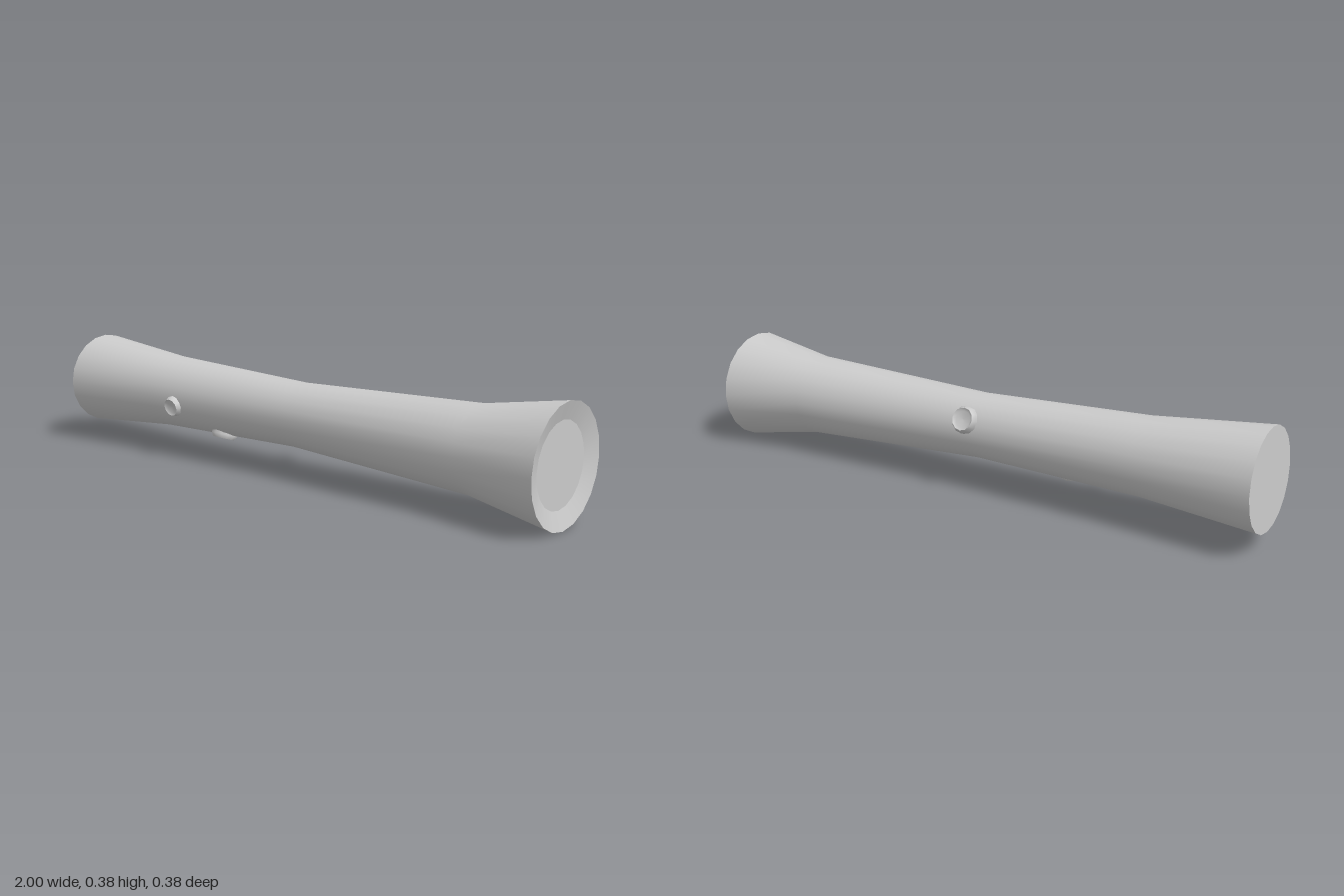
import * as THREE from 'three';

const material = new THREE.MeshStandardMaterial({ color: 0xcccccc });

// Surface of revolution from [radius, height] pairs, listed bottom to top on the outside
function turned(name, profile, sides) {
  const points = profile.map(([r, h]) => new THREE.Vector2(r, h));
  const mesh = new THREE.Mesh(new THREE.LatheGeometry(points, sides), material);
  mesh.name = name;
  return mesh;
}

// Short broken-off branch with a dished end, pointing along +y
function createStub(name, radius, reach) {
  const stub = new THREE.Group();
  stub.name = name;
  stub.add(
    turned('stubSide', [[radius * 0.9, 0.05], [radius, reach - 0.014], [radius * 0.82, reach]], 12),
    turned('stubDish', [[radius * 0.82, reach], [radius * 0.6, reach - 0.007], [0, reach - 0.009]], 12)
  );
  return stub;
}

export function createModel() {
  const model = new THREE.Group();
  model.name = 'log';
  const sides = 20;
  const left = -0.998, right = 0.993, recess = 0.975;

  // Trunk lying along x, narrow at the middle, with a recessed right end
  const trunk = new THREE.Group();
  trunk.name = 'trunk';
  trunk.add(
    turned('bark', [[0.163, left], [0.127, -0.6], [0.109, 0], [0.139, 0.7], [0.19, right]], sides),
    turned('plainEnd', [[0, left], [0.163, left]], sides),
    turned('endLip', [[0.19, right], [0.132, recess]], sides),
    turned('recessedEnd', [[0.132, recess], [0, recess]], sides)
  );
  trunk.rotation.z = -Math.PI / 2;
  model.add(trunk);

  // Stubs: position along the trunk, angle from straight up towards the front, radius, reach
  const stubs = [
    ['frontStub', -0.49, 102, 0.037, 0.137],
    ['lowerStub', -0.32, 162, 0.046, 0.133],
    ['backStub', 0, -66, 0.046, 0.13]
  ];
  for (const [name, x, degrees, radius, reach] of stubs) {
    const stub = createStub(name, radius, reach);
    stub.position.x = x;
    stub.rotation.x = THREE.MathUtils.degToRad(degrees);
    model.add(stub);
  }

  // The thicker end rests level with the ground, so the axis dips slightly
  model.rotation.z = -0.0155;
  model.position.y = 0.206;

  const root = new THREE.Group();
  root.add(model);
  return root;
}
